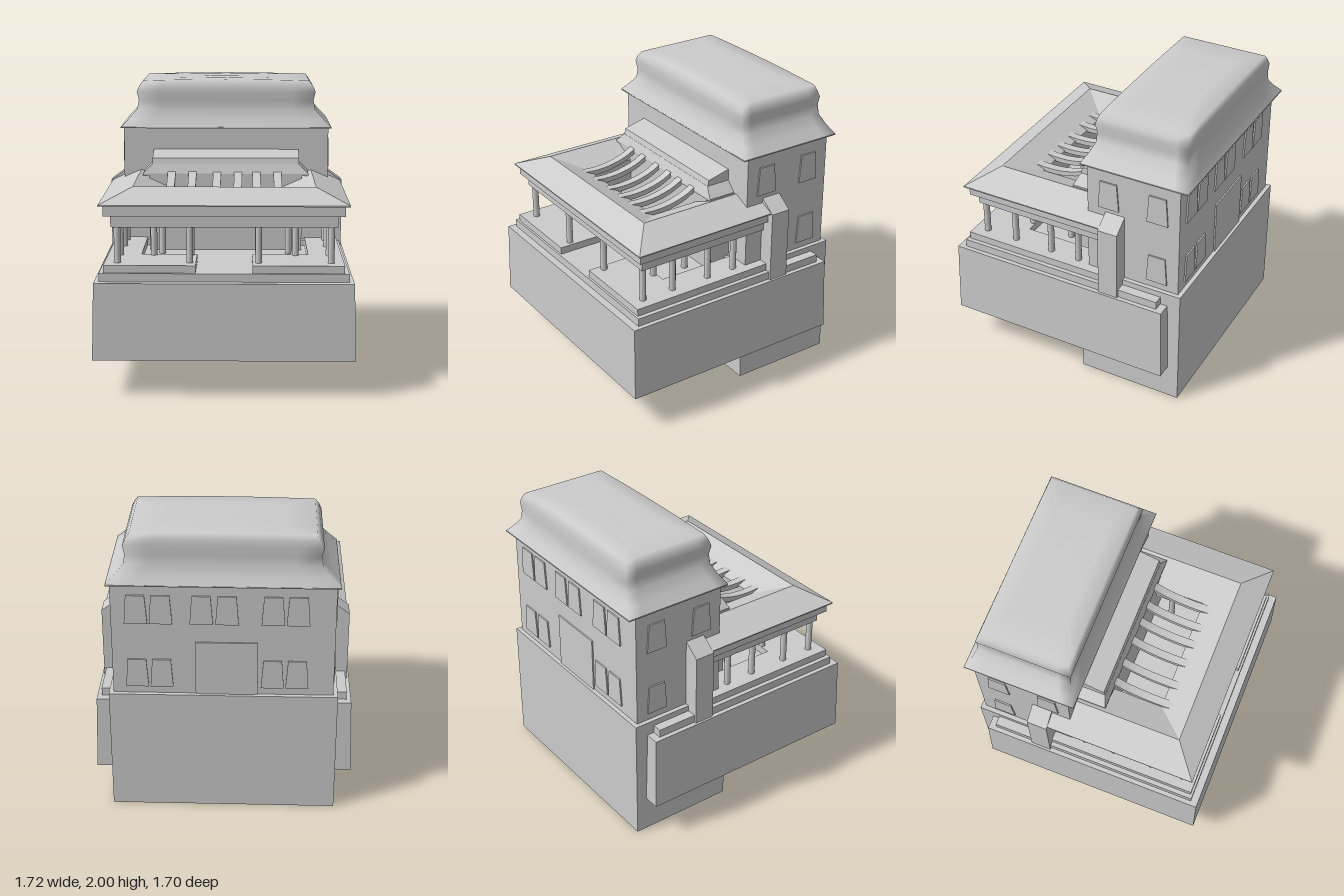
import * as THREE from 'three';

const grey = new THREE.MeshStandardMaterial({ color: 0xcccccc, side: THREE.DoubleSide });
const flat = new THREE.MeshStandardMaterial({ color: 0xcccccc, side: THREE.DoubleSide, flatShading: true });

// Skin between rings of points [x, y, z], anticlockwise from above, rings going up
function loft(rings, { closed = true, cap = true } = {}) {
  const n = rings[0].length, index = [];
  for (let i = 0; i < rings.length - 1; i++) {
    for (let j = 0; j < (closed ? n : n - 1); j++) {
      const a = i * n + j, b = i * n + (j + 1) % n;
      index.push(a, b, b + n, a, b + n, a + n);
    }
  }
  const top = (rings.length - 1) * n;
  if (closed && cap) for (let j = 1; j < n - 1; j++) index.push(top, top + j, top + j + 1);
  const g = new THREE.BufferGeometry();
  g.setAttribute('position', new THREE.Float32BufferAttribute(rings.flat(2), 3));
  g.setIndex(index);
  g.computeVertexNormals();
  return g;
}

// Rectangular ring, each side split into steps, with optional droop towards the x ends
function rect(y, x, zFront, zBack, steps = 1, droop = 0) {
  const c = [[x, zFront], [x, zBack], [-x, zBack], [-x, zFront]], pts = [];
  c.forEach(([ax, az], k) => {
    const [bx, bz] = c[(k + 1) % 4];
    for (let s = 0; s < steps; s++) {
      const t = s / steps, px = ax + (bx - ax) * t;
      pts.push([px, y - droop * (px / 0.59) ** 2, az + (bz - az) * t]);
    }
  });
  return pts;
}

// Plan outline [x, z] raised from y0 to y1, with an optional hole
function slab(outline, y0, y1, hole) {
  const toPts = (a) => a.map(([x, z]) => new THREE.Vector2(x, -z));
  const s = new THREE.Shape(toPts(outline));
  if (hole) s.holes.push(new THREE.Path(toPts(hole)));
  return new THREE.ExtrudeGeometry(s, { depth: y1 - y0, bevelEnabled: false })
    .rotateX(-Math.PI / 2).translate(0, y0, 0);
}

const plan = (x, zf, zb) => [[x, zf], [x, zb], [-x, zb], [-x, zf]];

export function createModel() {
  const model = new THREE.Group();
  const add = (name, geo, mat = flat) => {
    const m = new THREE.Mesh(geo, mat);
    m.name = name;
    model.add(m);
    return m;
  };
  const box = (name, x0, x1, y0, y1, z0, z1) => add(name,
    new THREE.BoxGeometry(x1 - x0, y1 - y0, z1 - z0)
      .translate((x0 + x1) / 2, (y0 + y1) / 2, (z0 + z1) / 2));

  // Foundations, open underneath
  add('foundation', loft([rect(0, 0.75, -0.09, -0.82), rect(0.86, 0.75, -0.09, -0.82)]));
  add('podium', loft([rect(0.25, 0.86, 0.85, -0.745), rect(0.765, 0.845, 0.84, -0.73)]));
  box('terraceStep', -0.815, 0.815, 0.76, 0.82, -0.68, 0.79);

  // Main building
  box('mainBuilding', -0.72, 0.72, 0.8, 1.67, -0.79, -0.13);
  box('entranceWall', -0.53, 0.53, 0.82, 1.36, -0.2, 0.06);
  box('backDoor', -0.225, 0.18, 0.86, 1.24, -0.8, -0.78);

  // Windows, narrower at the top
  const pane = new THREE.Shape([[-0.075, -0.1], [0.075, -0.1], [0.06, 0.1], [-0.06, 0.1]]
    .map(([x, y]) => new THREE.Vector2(x, y)));
  const paneGeo = new THREE.ExtrudeGeometry(pane, { depth: 0.02, bevelEnabled: false });
  const windowAt = (x, y, z, turn) => {
    const w = add('window', paneGeo);
    w.position.set(x, y, z);
    w.rotation.y = turn;
  };
  for (const x of [0.56, 0.4, 0.14, -0.025, -0.32, -0.48]) {
    windowAt(x, 1.47, -0.78, Math.PI);
    if (Math.abs(x) > 0.2) windowAt(x, 1.01, -0.78, Math.PI);
  }
  for (const s of [-1, 1]) {
    for (const [z, y] of [[-0.285, 1.47], [-0.635, 1.47], [-0.635, 1.01]]) {
      windowAt(s * 0.71, y, z, s * Math.PI / 2);
    }
  }

  for (const s of [-1, 1]) {
    // Raised L-shaped porch floor
    const floor = [[0.185, 0.775], [0.785, 0.775], [0.785, -0.26], [0.56, -0.26], [0.56, 0.43], [0.185, 0.43]];
    add('porchFloor', slab(floor.map(([x, z]) => [s * x, z]), 0.815, 0.87));

    // Porch columns
    const spots = [[0.7, 0.68], [0.7, 0.45], [0.7, 0.17], [0.7, -0.04],
      [0.225, 0.68], [0.225, 0.45], [0.435, 0.17], [0.475, 0.45]];
    for (const [x, z] of spots) {
      const y0 = x < 0.5 && z < 0.4 ? 0.82 : 0.86;
      add('porchColumn', new THREE.CylinderGeometry(0.022, 0.022, 1.12 - y0, 12)
        .translate(s * x, (1.12 + y0) / 2, z), grey);
    }

    // Side buttress with a sloping top
    const b = new THREE.Shape([[0.7, 0.76], [0.83, 0.76], [0.83, 1.26], [0.72, 1.34], [0.7, 1.34]]
      .map(([x, y]) => new THREE.Vector2(s * x, y)));
    add('sideButtress', new THREE.ExtrudeGeometry(b, { depth: 0.14, bevelEnabled: false }).translate(0, 0, -0.4));
  }

  // Porch beams around the open court
  const court = plan(0.4, 0.4, 0.06);
  add('lowerBeam', slab(plan(0.74, 0.71, -0.26), 1.11, 1.19, court));
  add('upperBeam', slab(plan(0.785, 0.75, -0.26), 1.19, 1.26, court));

  // Porch roof: outer slope, ridge and inner slope
  const u = (y, x, z) => [[-x, y, -0.3], [-x, y, z], [x, y, z], [x, y, -0.3]];
  add('porchRoof', loft([u(1.258, 0.4, 0.4), u(1.258, 0.815, 0.775), u(1.266, 0.815, 0.775),
    u(1.36, 0.6, 0.6), u(1.27, 0.4, 0.4), u(1.258, 0.4, 0.4)], { closed: false }));

  // Small roof over the entrance
  add('entranceRoofSkirt', loft([rect(1.345, 0.575, 0.065, -0.2), rect(1.36, 0.575, 0.065, -0.2),
    rect(1.425, 0.51, 0.04, -0.2)]));
  const lid = rect(1.465, 0.51, 0.03, -0.13);
  lid[1][1] = lid[2][1] = 1.505;
  add('entranceRoofCap', loft([rect(1.42, 0.51, 0.04, -0.13), lid]));

  // Curved rafters over the court
  const sag = new THREE.CatmullRomCurve3([[0.04, 1.385], [0.13, 1.335], [0.26, 1.3], [0.38, 1.292], [0.48, 1.3]]
    .map(([z, y]) => new THREE.Vector3(0, y, z))).getPoints(10);
  const rafter = new THREE.Shape([
    ...sag.map((p) => new THREE.Vector2(-p.z, p.y)),
    ...sag.slice().reverse().map((p) => new THREE.Vector2(-p.z, p.y - 0.035))]);
  const rafterGeo = new THREE.ExtrudeGeometry(rafter, { depth: 0.055, bevelEnabled: false })
    .rotateY(Math.PI / 2).translate(-0.0275, 0, 0);
  for (const x of [-0.375, -0.23, -0.06, 0.085, 0.215, 0.36]) add('rafter', rafterGeo).position.x = x;

  // Main roof with flared eaves and a rounded waist
  const profile = [[1.665, 0.74, -0.085, -0.85], [1.72, 0.685, -0.118, -0.815], [1.785, 0.627, -0.145, -0.79],
    [1.85, 0.614, -0.147, -0.787], [1.91, 0.628, -0.138, -0.79], [1.95, 0.61, -0.148, -0.782],
    [1.995, 0.585, -0.165, -0.77, 0.01], [2, 0.4, -0.28, -0.65, 0.015], [2, 0.2, -0.42, -0.52, 0.015]];
  add('mainRoof', loft(profile.map(([y, x, zf, zb, d = 0]) => rect(y, x, zf, zb, 8, d))), grey);
  box('eaves', -0.74, 0.74, 1.658, 1.666, -0.85, -0.085);

  return model;
}
